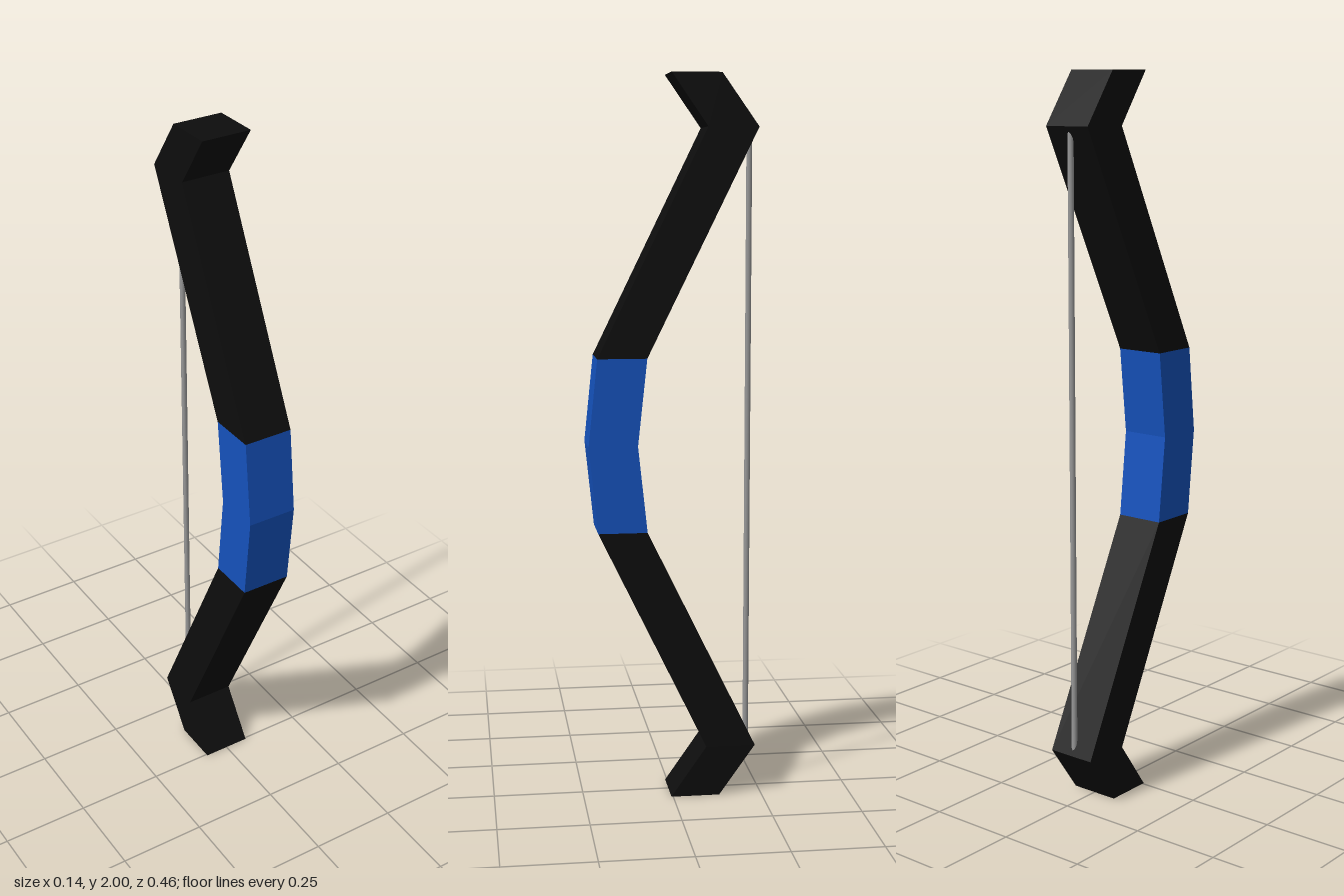
import * as THREE from 'three';

const WIDTH = 0.14;

// Side profile of the upper half: [height, front z, back z]
const MIDDLE = [1, 0.232, 0.097];
const GRIP_END = [1.24, 0.207, 0.071];
const BEND = [1.858, -0.094, -0.232];
const TIP = [2, 0.005, -0.131];

const mirror = ([y, front, back]) => [2 - y, front, back];

// Extrudes a bottom-to-top run of stations across the width of the bow
function bowSection(name, stations, material) {
  const front = stations.map(([y, z]) => new THREE.Vector2(z, y));
  const back = stations.map(([y, , z]) => new THREE.Vector2(z, y)).reverse();
  const shape = new THREE.Shape([...front, ...back]);
  const geometry = new THREE.ExtrudeGeometry(shape, { depth: WIDTH, bevelEnabled: false });
  geometry.translate(0, 0, -WIDTH / 2);
  geometry.rotateY(-Math.PI / 2);
  const mesh = new THREE.Mesh(geometry, material);
  mesh.name = name;
  return mesh;
}

export function createModel() {
  const model = new THREE.Group();
  model.name = 'bow';

  const limbMaterial = new THREE.MeshStandardMaterial({ color: 0x0d0d0d, flatShading: true });
  const gripMaterial = new THREE.MeshStandardMaterial({ color: 0x1552bd, flatShading: true });
  const stringMaterial = new THREE.MeshStandardMaterial({ color: 0x999999 });

  // Limbs with recurved tips, and the angled grip between them
  const upper = [GRIP_END, BEND, TIP];
  const lower = upper.map(mirror).reverse();
  model.add(
    bowSection('upperLimb', upper, limbMaterial),
    bowSection('grip', [mirror(GRIP_END), MIDDLE, GRIP_END], gripMaterial),
    bowSection('lowerLimb', lower, limbMaterial)
  );

  // Straight string between the two bends
  const string = new THREE.Mesh(new THREE.CylinderGeometry(0.008, 0.008, 1.69, 8), stringMaterial);
  string.name = 'bowString';
  string.position.set(0, 1, -0.217);
  model.add(string);

  return model;
}
